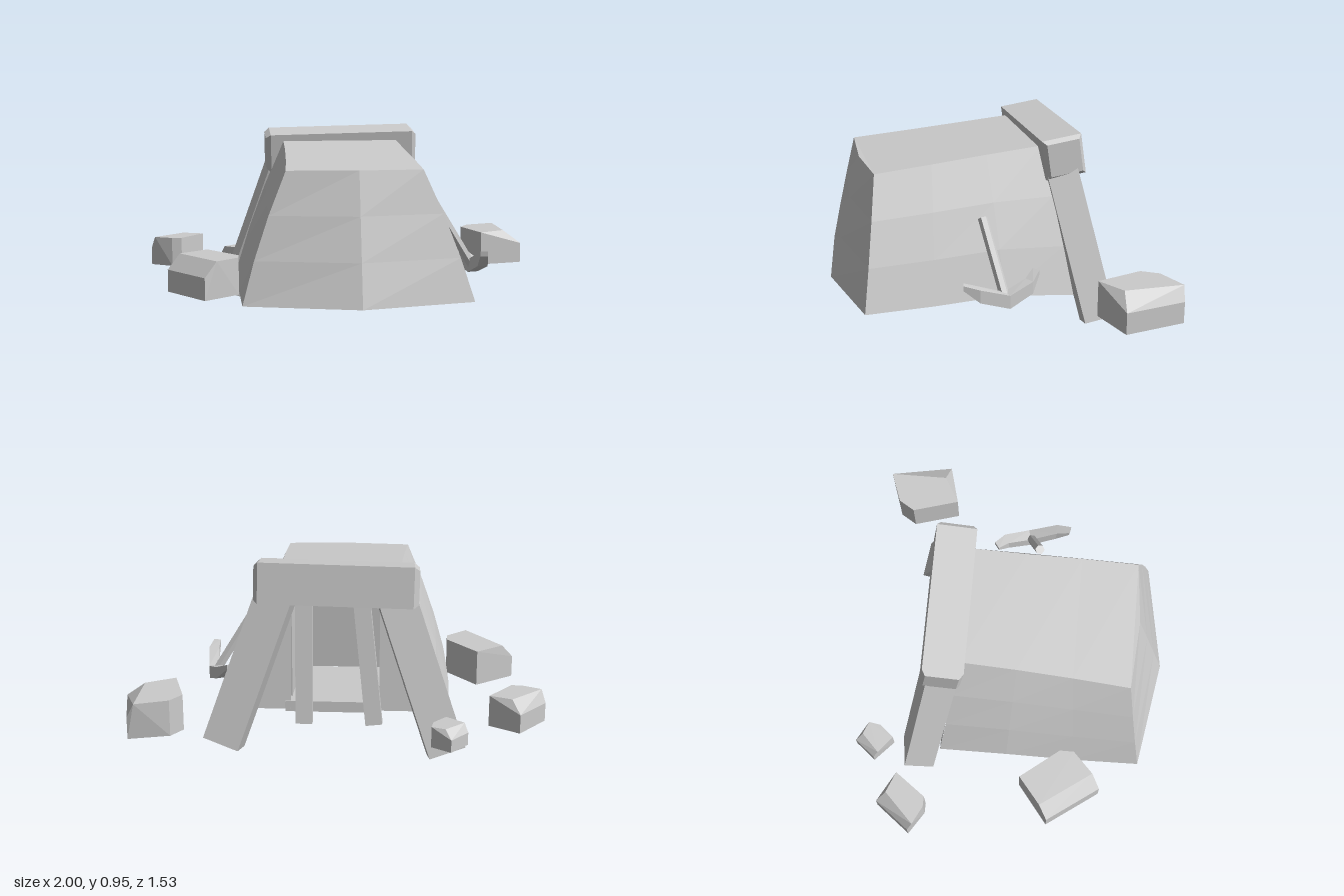
import * as THREE from 'three';
import { ConvexGeometry } from 'three/addons/geometries/ConvexGeometry.js';

const V = (a) => new THREE.Vector3(...a);
const mat = new THREE.MeshStandardMaterial({ color: 0xcccccc, flatShading: true });
const shellMat = new THREE.MeshStandardMaterial({ color: 0xcccccc, flatShading: true, side: THREE.DoubleSide });

function part(parent, name, geometry, material = mat) {
  const mesh = new THREE.Mesh(geometry, material);
  mesh.name = name;
  parent.add(mesh);
  return mesh;
}

function box(parent, name, [w, h, d], pos) {
  const mesh = part(parent, name, new THREE.BoxGeometry(w, h, d));
  mesh.position.set(...pos);
  return mesh;
}

// Bar along the line from a to b, centred on it
function along(parent, name, a, b, makeGeometry) {
  const from = V(a), to = V(b);
  const mesh = part(parent, name, makeGeometry(from.distanceTo(to)));
  mesh.position.copy(from).add(to).multiplyScalar(0.5);
  mesh.quaternion.setFromUnitVectors(new THREE.Vector3(0, 1, 0), to.sub(from).normalize());
  return mesh;
}

const beam = (parent, name, a, b, w, d) => along(parent, name, a, b, (l) => new THREE.BoxGeometry(w, l, d));

// Boulder: straight-sided plan whose top is cut back towards (dx, dz)
function rock(parent, plan, y0, y1, dx, dz) {
  const cx = plan.reduce((s, p) => s + p[0], 0) / plan.length;
  const cz = plan.reduce((s, p) => s + p[1], 0) / plan.length;
  const points = [];
  for (const [x, z] of plan) {
    const cut = 0.5 * Math.max(0, (x - cx) * dx + (z - cz) * dz);
    points.push(V([x, y0, z]), V([x, y0 + (y1 - y0) * 0.6, z]), V([x - dx * cut, y1, z - dz * cut]));
  }
  part(parent, 'rock', new ConvexGeometry(points));
}

// Mound: open shell, walls interpolated between a base line and a roof line
function moundGeometry() {
  const base = [[-0.55, 0.2, -0.34], [-0.555, 0.23, 0], [-0.55, 0.21, 0.34], [-0.54, 0.2, 0.67], [0, 0.19, 0.76],
    [0.53, 0.2, 0.67], [0.53, 0.21, 0.34], [0.53, 0.23, 0], [0.53, 0.2, -0.34]];
  const roof = [[-0.305, 0.883, -0.24], [-0.31, 0.858, 0.03], [-0.32, 0.832, 0.3], [-0.335, 0.806, 0.575], [0, 0.806, 0.6],
    [0.3, 0.806, 0.575], [0.295, 0.832, 0.3], [0.285, 0.858, 0.03], [0.28, 0.883, -0.24]];
  const rows = 3, n = base.length, pos = [], index = [];
  for (let r = 0; r <= rows; r++) {
    const t = r / rows, bow = 0.015 * Math.sin(Math.PI * t);
    for (let i = 0; i < n; i++) {
      const p = V(base[i]).lerp(V(roof[i]), t);
      pos.push(p.x + Math.sign(Math.round(p.x * 10)) * bow, p.y, p.z);
    }
  }
  for (let r = 0; r < rows; r++) {
    for (let i = 0; i < n - 1; i++) {
      const a = r * n + i, b = a + 1, c = a + n, d = c + 1;
      index.push(a, b, d, a, d, c);
    }
  }
  // Roof strips across the mound, closing on the front point
  const k = rows * n;
  for (let i = 0; i < 3; i++) {
    const a = k + i, b = k + i + 1, c = k + n - 1 - i, d = c - 1;
    index.push(a, b, d, a, d, c);
  }
  index.push(k + 3, k + 4, k + 5);
  const g = new THREE.BufferGeometry();
  g.setAttribute('position', new THREE.Float32BufferAttribute(pos, 3));
  g.setIndex(index);
  g.computeVertexNormals();
  return g;
}

// Sloping rear wall of the mound with the tunnel mouth cut out
function rearWallGeometry() {
  const outline = [[-0.55, 0.2], [-0.21, 0.2], [-0.21, 0.78], [0.22, 0.78], [0.22, 0.2], [0.53, 0.2], [0.28, 0.883], [-0.305, 0.883]];
  const g = new THREE.ShapeGeometry(new THREE.Shape(outline.map(([x, y]) => new THREE.Vector2(x, y))));
  const p = g.attributes.position;
  for (let i = 0; i < p.count; i++) p.setZ(i, -0.34 + (p.getY(i) - 0.2) * 0.146);
  return g;
}

export function createModel() {
  const model = new THREE.Group();
  model.name = 'mineEntrance';

  part(model, 'mound', moundGeometry(), shellMat);
  part(model, 'rearWall', rearWallGeometry(), shellMat);

  // Tunnel running into the mound
  const tunnel = new THREE.Group();
  tunnel.name = 'tunnel';
  model.add(tunnel);
  for (const s of [-1, 1]) box(tunnel, 'tunnelWall', [0.015, 0.58, 0.56], [0.005 + s * 0.222, 0.49, 0.03]);
  box(tunnel, 'tunnelRoof', [0.45, 0.015, 0.56], [0.005, 0.785, 0.03]);
  box(tunnel, 'tunnelEnd', [0.45, 0.58, 0.015], [0.005, 0.49, 0.305]);

  // Timber frame: splayed outer posts, thin inner posts, lintel with bevelled ends
  const frame = new THREE.Group();
  frame.name = 'timberFrame';
  model.add(frame);
  for (const s of [-1, 1]) {
    const post = beam(frame, 'outerPost', [s * 0.535, s > 0 ? 0.07 : 0.05, -0.463], [s * 0.275, 0.8, -0.325], 0.18, 0.15);
    post.rotateY(-s * 0.13);
  }
  beam(frame, 'innerPost', [-0.19, 0.175, -0.45], [-0.12, 0.8, -0.34], 0.08, 0.07);
  beam(frame, 'innerPost', [0.145, 0.175, -0.45], [0.15, 0.8, -0.34], 0.08, 0.07);

  const ends = [];
  for (const [x, h] of [[-0.395, 0.08], [-0.37, 0.098], [0.365, 0.098], [0.385, 0.08]]) {
    for (const sy of [-1, 1]) for (const sz of [-1, 1]) ends.push(V([x, sy * h, sz * h]));
  }
  const lintel = part(frame, 'lintel', new ConvexGeometry(ends));
  lintel.position.set(0, 0.836, -0.325);
  lintel.rotation.set(0.14, 0.015, 0.02);

  // Tunnel floor, a shallow tray open underneath
  const floor = new THREE.Group();
  floor.name = 'tunnelFloor';
  floor.position.set(0.015, 0.19, -0.015);
  floor.rotation.x = 0.07;
  model.add(floor);
  box(floor, 'floorPlate', [0.46, 0.015, 0.65], [0, 0.02, 0]);
  for (const s of [-1, 1]) {
    box(floor, 'sideRail', [0.025, 0.05, 0.65], [s * 0.22, 0, 0]);
    box(floor, 'endRail', [0.46, 0.05, 0.025], [0, 0, s * 0.312]);
  }

  // Pickaxe leaning on the left wall: handle and a curved, tapering head
  const pick = new THREE.Group();
  pick.name = 'pickaxe';
  model.add(pick);
  along(pick, 'handle', [0.645, 0.25, 0.025], [0.43, 0.595, 0.085], (l) => new THREE.CylinderGeometry(0.024, 0.024, l, 6));
  // Each section: centre, sideways half width (x, z), half height
  const sections = [
    [[0.66, 0.35, 0.232], [0.018, 0.004], 0.012],
    [[0.668, 0.308, 0.16], [0.026, 0], 0.032],
    [[0.645, 0.257, 0.02], [0.027, -0.008], 0.033],
    [[0.595, 0.297, -0.1], [0.024, -0.012], 0.03],
    [[0.54, 0.345, -0.148], [0.016, -0.012], 0.012],
  ].map(([[x, y, z], [ox, oz], h]) => [[-1, -1], [-1, 1], [1, -1], [1, 1]]
    .map(([s, t]) => V([x + s * ox, y + t * h, z + s * oz])));
  for (let i = 0; i < sections.length - 1; i++) {
    part(pick, 'pickHead', new ConvexGeometry([...sections[i], ...sections[i + 1]]));
  }

  // Loose rocks around the entrance
  const rocks = new THREE.Group();
  rocks.name = 'rocks';
  model.add(rocks);
  rock(rocks, [[-0.89, 0.23], [-0.7, 0.08], [-0.55, 0.27], [-0.55, 0.34], [-0.71, 0.48]], 0.19, 0.37, -0.81, 0.58);
  rock(rocks, [[0.7, -0.61], [0.75, -0.69], [0.94, -0.74], [1, -0.44], [0.77, -0.38]], 0.19, 0.365, 0.98, 0.2);
  rock(rocks, [[-1, -0.45], [-0.87, -0.62], [-0.73, -0.53], [-0.84, -0.38], [-0.89, -0.38]], 0.21, 0.36, -0.6, -0.8);
  rock(rocks, [[-0.63, -0.67], [-0.55, -0.77], [-0.46, -0.71], [-0.47, -0.65], [-0.53, -0.58]], 0.17, 0.27, -0.6, -0.8);

  return model;
}
